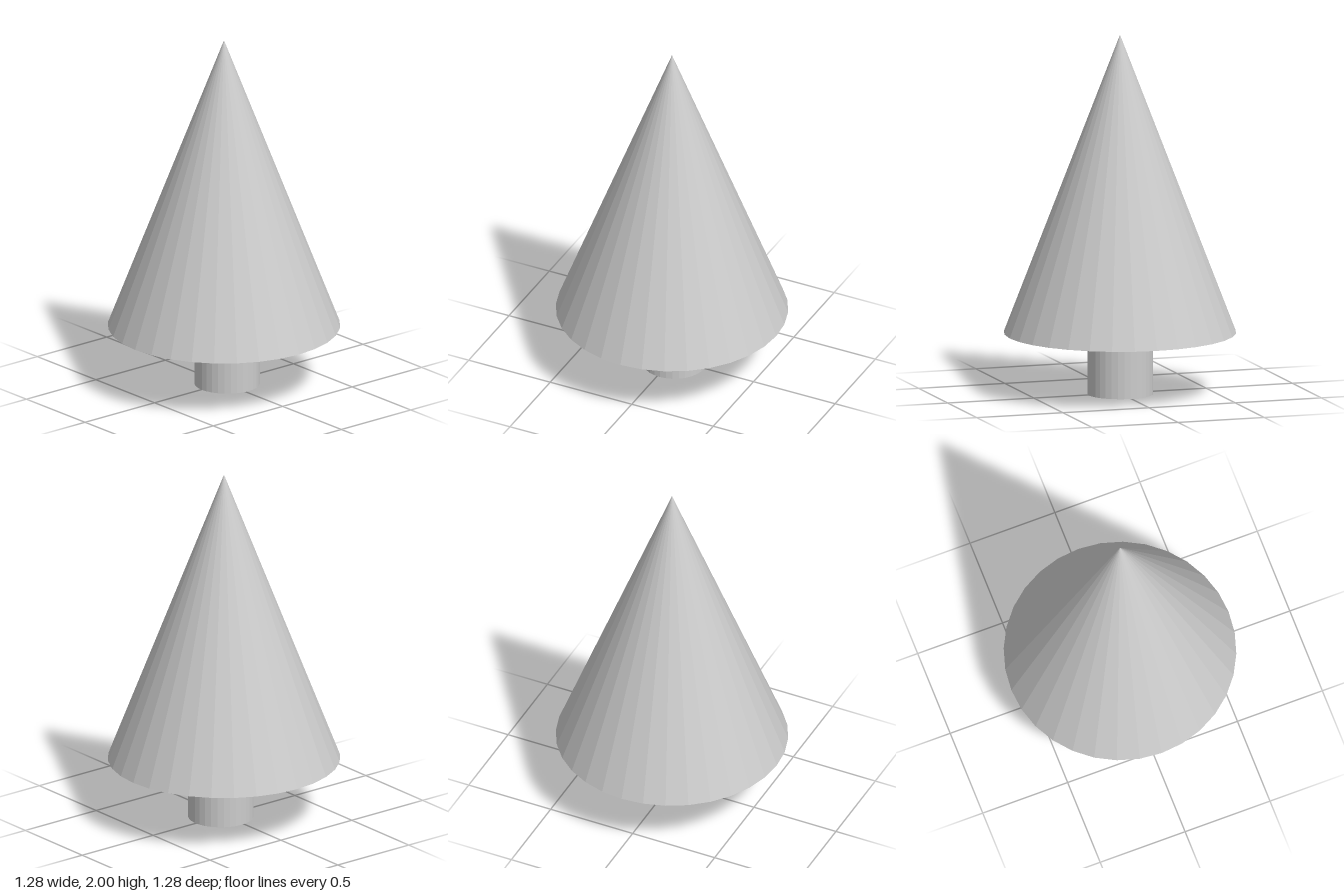
import * as THREE from 'three';

const SIDES = 32;

export function createModel() {
  const group = new THREE.Group();
  const material = new THREE.MeshStandardMaterial({ color: 0xcccccc, flatShading: true });

  const addPart = (name, geometry, x, y, z) => {
    const mesh = new THREE.Mesh(geometry, material);
    mesh.name = name;
    mesh.position.set(x, y, z);
    group.add(mesh);
  };

  // Faceted cone of leaves, with a closed underside
  const base = 0.34, height = 2 - base;
  addPart('foliage', new THREE.ConeGeometry(0.64, height, SIDES), 0, base + height / 2, 0);

  // Trunk, set slightly off the cone's axis and meeting its underside
  addPart('trunk', new THREE.CylinderGeometry(0.181, 0.181, base, SIDES), 0.005, base / 2, -0.018);

  return group;
}
